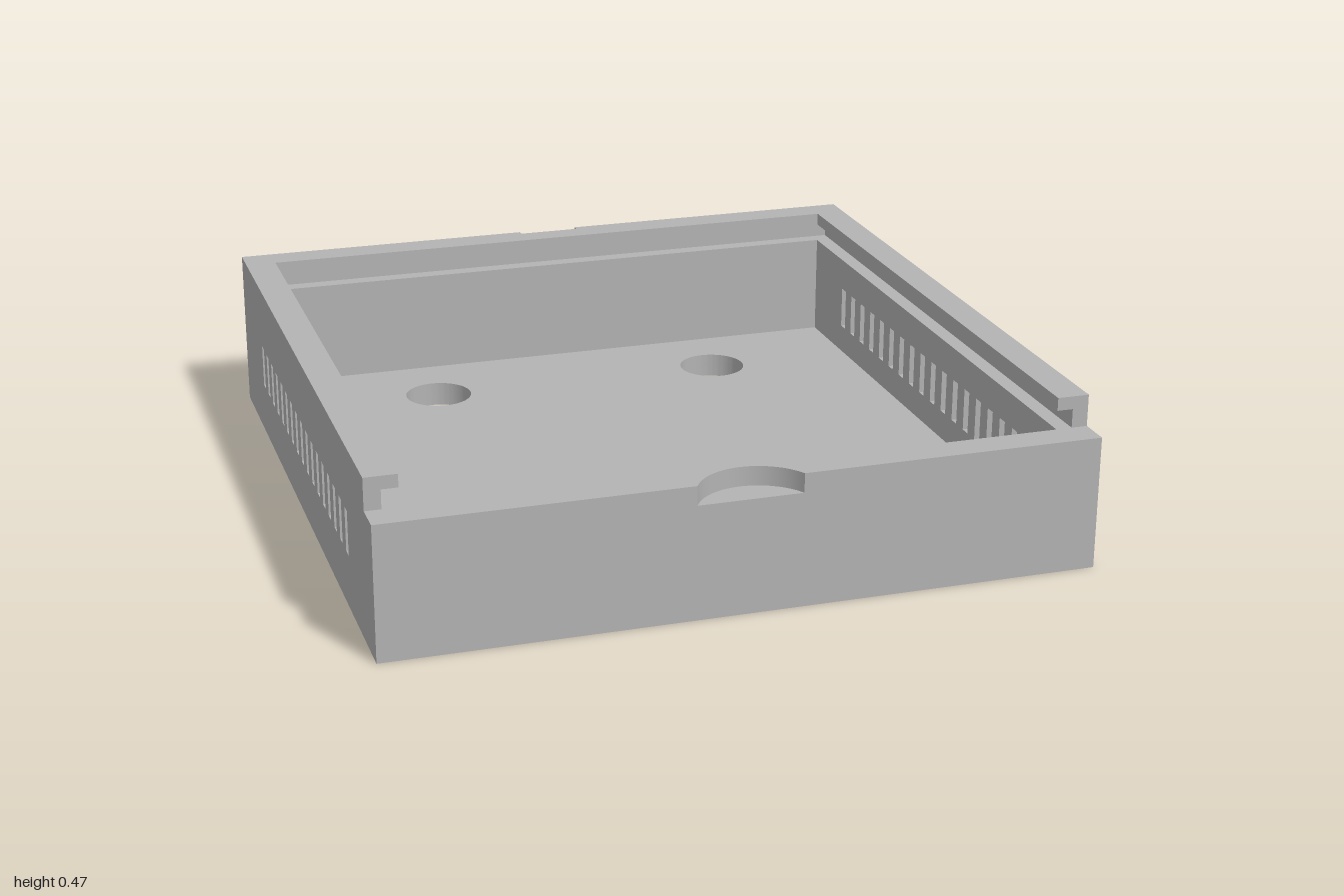
import * as THREE from 'three';
import { toCreasedNormals } from 'three/addons/utils/BufferGeometryUtils.js';

// Main heights and wall lines
const FLOOR = 0.073, LEDGE = 0.382, GROOVE = 0.436, TOP = 0.473;
const INNER = 0.909, SLOT = 0.9545, SKIN = -0.982;

export function createModel() {
  const group = new THREE.Group();
  const grey = new THREE.MeshStandardMaterial({ color: 0xb3b3b3 });
  grey.name = 'grey plastic';

  const add = (name, geometry) => {
    const mesh = new THREE.Mesh(geometry, grey);
    mesh.name = name;
    group.add(mesh);
  };
  const outline = pts => new THREE.Shape(pts.map(([u, v]) => new THREE.Vector2(u, v)));
  const extrude = (shape, depth) =>
    new THREE.ExtrudeGeometry(shape, { depth, bevelEnabled: false, curveSegments: 48 });
  const box = (name, x0, x1, y0, y1, z0, z1) => add(name,
    new THREE.BoxGeometry(x1 - x0, y1 - y0, z1 - z0)
      .translate((x0 + x1) / 2, (y0 + y1) / 2, (z0 + z1) / 2));
  // Plan shape (x, -z) raised from y0 to y1
  const slab = (name, shape, y0, y1) => add(name,
    toCreasedNormals(extrude(shape, y1 - y0).rotateX(-Math.PI / 2).translate(0, y0, 0), 0.5));

  // Floor: two through holes, plus two blind holes in the underside
  const through = [[0.4545, -0.6545], [-0.4545, -0.6545]];
  const blind = [[0.545, 0], [-0.545, 0]];
  const floorShape = holes => {
    const s = outline([[-1, -1], [1, -1], [1, 1], [-1, 1]]);
    for (const [x, z] of holes) s.holes.push(new THREE.Path().absarc(x, -z, 0.102, 0, Math.PI * 2, true));
    return s;
  };
  slab('floorUnderside', floorShape([...through, ...blind]), 0, 0.052);
  slab('floorTop', floorShape(through), 0.052, FLOOR);

  // Side walls: profiles in (-z, y) pierced by a row of vents
  const pierce = shape => {
    for (let i = -8; i <= 8; i++) {
      const u = i * 0.0818, w = 0.017;
      shape.holes.push(outline([[u - w, 0.158], [u - w, 0.285], [u + w, 0.285], [u + w, 0.158]]));
    }
    return shape;
  };
  const outer = pierce(outline([[-1, FLOOR], [-SKIN, FLOOR], [-SKIN, TOP],
    [-INNER, TOP], [-INNER, LEDGE], [-1, LEDGE]]));
  const inner = pierce(outline([[-1, FLOOR], [-SKIN, FLOOR], [-SKIN, LEDGE], [-1, LEDGE]]));
  const sidePlate = (name, shape, x0, x1) =>
    add(name, extrude(shape, x1 - x0).rotateY(Math.PI / 2).translate(x0, 0, 0));
  sidePlate('leftWallOuter', outer, SLOT, 1);
  sidePlate('rightWallOuter', outer, -1, -SLOT);
  sidePlate('leftWallInner', inner, INNER, SLOT);
  sidePlate('rightWallInner', inner, -SLOT, -INNER);
  box('leftLip', INNER, SLOT, GROOVE, TOP, -INNER, INNER);
  box('rightLip', -SLOT, -INNER, GROOVE, TOP, -INNER, INNER);

  // Back wall: lower wall, recessed groove, lip, and outer skin with a latch notch
  box('backWall', -INNER, INNER, FLOOR, LEDGE, SKIN, -INNER);
  box('backGroove', -SLOT, SLOT, LEDGE, GROOVE, SKIN, -SLOT);
  box('backLip', -SLOT, SLOT, GROOVE, TOP, SKIN, -INNER);
  const skin = outline([[-1, FLOOR], [1, FLOOR], [1, TOP], [0.092, TOP],
    [0.092, 0.4], [-0.092, 0.4], [-0.092, TOP], [-1, TOP]]);
  add('backSkin', extrude(skin, SKIN + 1).translate(0, 0, -1));

  // Front wall with a round finger notch cut into its top edge
  box('frontWall', -INNER, INNER, FLOOR, 0.327, INNER, 1);
  const r = 0.165, cz = 1.075, half = Math.asin(0.147 / r);
  const rim = [[-INNER, -1]];
  for (let i = 0; i <= 32; i++) {
    const a = -half + (2 * half * i) / 32;
    rim.push([r * Math.sin(a), i % 32 ? r * Math.cos(a) - cz : -1]);
  }
  rim.push([INNER, -1], [INNER, -INNER], [-INNER, -INNER]);
  slab('frontRim', outline(rim), 0.327, LEDGE);

  return group;
}
